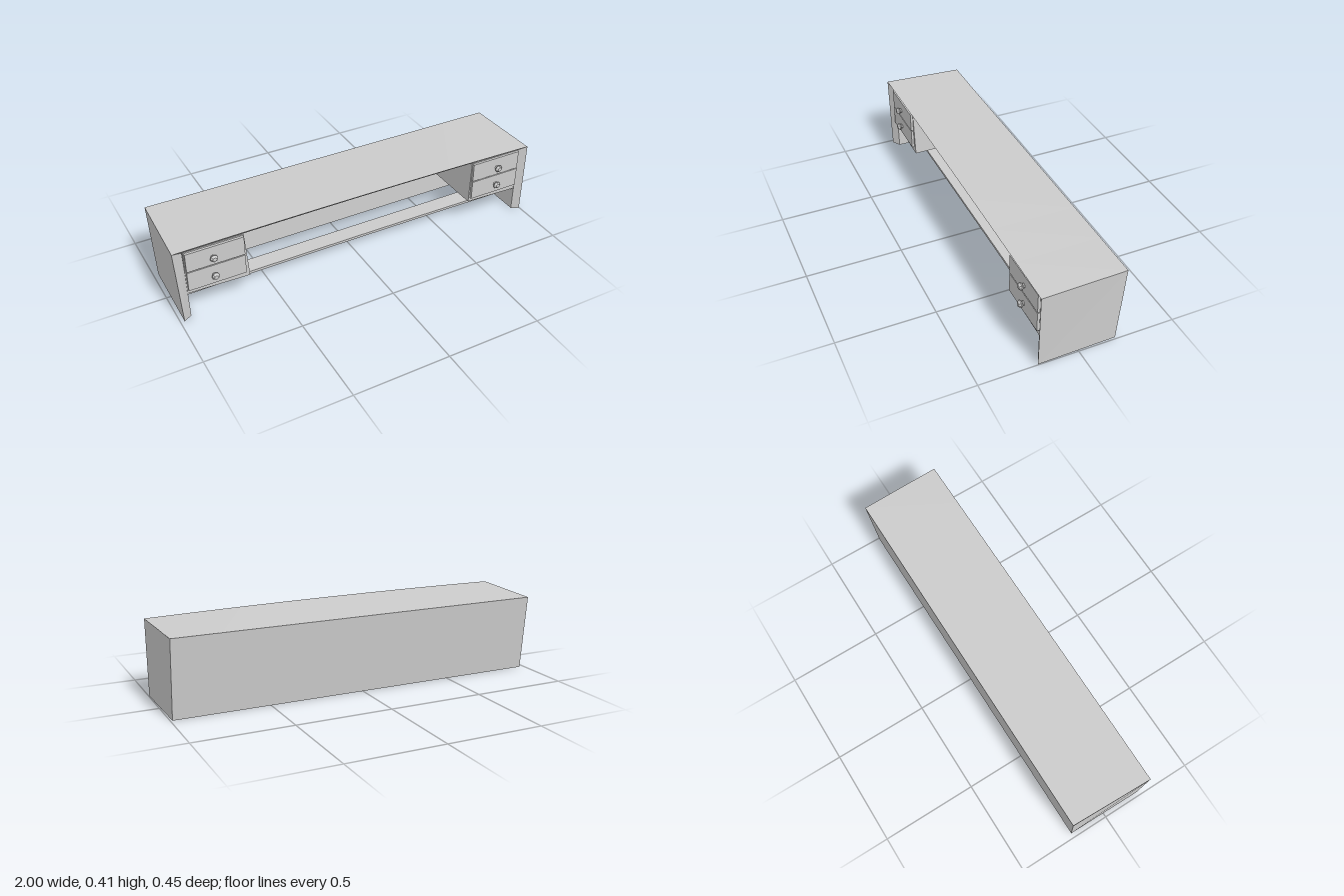
import * as THREE from 'three';

const material = new THREE.MeshStandardMaterial({ color: 0xcccccc, flatShading: true });

// Box bent to 8 corners: x runs fastest, then y (bottom, top), then z (back, front).
// arch lifts the middle of the front edge.
function block(name, corners, arch = 0) {
  const geo = new THREE.BoxGeometry(1, 1, 1, arch ? 8 : 1, 1, 1);
  const pos = geo.attributes.position;
  for (let i = 0; i < pos.count; i++) {
    const u = [pos.getX(i) + 0.5, pos.getY(i) + 0.5, pos.getZ(i) + 0.5];
    const p = [0, 0, 0];
    corners.forEach((c, k) => {
      const w = (k & 1 ? u[0] : 1 - u[0]) * (k & 2 ? u[1] : 1 - u[1]) * (k & 4 ? u[2] : 1 - u[2]);
      for (let a = 0; a < 3; a++) p[a] += w * c[a];
    });
    pos.setXYZ(i, p[0], p[1] + arch * u[2] * 4 * u[0] * (1 - u[0]), p[2]);
  }
  geo.computeVertexNormals();
  const mesh = new THREE.Mesh(geo, material);
  mesh.name = name;
  return mesh;
}

function box(name, x0, x1, y0, y1, z0, z1) {
  const c = [];
  for (const z of [z0, z1]) for (const y of [y0, y1]) for (const x of [x0, x1]) c.push([x, y, z]);
  return block(name, c);
}

// Faceted turned knob pointing forward
function knob(x, y, z) {
  const profile = [[0.012, 0], [0.01, 0.007], [0.019, 0.012], [0.02, 0.018], [0.011, 0.028], [0, 0.03]];
  const geo = new THREE.LatheGeometry(profile.map(([r, h]) => new THREE.Vector2(r, h)), 8);
  geo.rotateX(Math.PI / 2);
  const mesh = new THREE.Mesh(geo, material);
  mesh.name = 'knob';
  mesh.position.set(x, y, z);
  return mesh;
}

// Two drawers in a hanging case; the inner side of the case flares a little
function drawerStack(name, x0, x1, knobX, flareLeft, flareRight) {
  const group = new THREE.Group();
  group.name = name;
  const l = x0 - flareLeft, r = x1 + flareRight;
  group.add(block('drawerCase', [
    [l, 0.14, -0.19], [r, 0.135, -0.19], [x0, 0.385, -0.2], [x1, 0.385, -0.2],
    [l, 0.142, 0.182], [r, 0.132, 0.182], [x0, 0.385, 0.182], [x1, 0.385, 0.182],
  ]));
  for (const [y0, y1, knobY] of [[0.165, 0.27, 0.215], [0.275, 0.378, 0.32]]) {
    group.add(box('drawerFront', x0 + 0.004, x1 - 0.004, y0, y1, 0.175, 0.195));
    group.add(knob(knobX, knobY, 0.195));
  }
  return group;
}

export function createModel() {
  const model = new THREE.Group();
  model.name = 'lowDesk';

  // Top with a bevelled, slightly arched front edge
  model.add(block('top', [
    [-0.985, 0.378, -0.223], [0.99, 0.378, -0.223], [-0.985, 0.4, -0.225], [0.99, 0.4, -0.225],
    [-0.985, 0.383, 0.18], [0.985, 0.378, 0.18], [-1, 0.408, 0.205], [1, 0.4, 0.205],
  ], 0.009));

  // Back panel leaning outward toward the top
  model.add(block('backPanel', [
    [-0.975, 0, -0.195], [0.985, 0, -0.195], [-0.985, 0.399, -0.225], [0.99, 0.399, -0.225],
    [-0.975, 0, -0.172], [0.985, 0, -0.172], [-0.985, 0.399, -0.2], [0.99, 0.399, -0.2],
  ]));

  // Side panels with bevelled front edges
  model.add(block('rightPanel', [
    [-0.975, 0, -0.195], [-0.935, 0, -0.195], [-0.985, 0.399, -0.225], [-0.94, 0.399, -0.225],
    [-0.98, 0, 0.205], [-0.937, 0, 0.178], [-1, 0.407, 0.205], [-0.945, 0.385, 0.178],
  ]));
  model.add(block('leftPanel', [
    [0.955, 0, -0.195], [0.99, 0, -0.195], [0.955, 0.399, -0.225], [0.99, 0.399, -0.225],
    [0.957, 0, 0.185], [0.997, 0, 0.205], [0.957, 0.385, 0.185], [1, 0.4, 0.205],
  ]));

  // Foot rail between the sides
  model.add(block('footRail', [
    [-0.945, 0.042, -0.02], [0.96, 0.042, -0.02], [-0.945, 0.058, -0.02], [0.96, 0.058, -0.02],
    [-0.945, 0.042, 0.075], [0.96, 0.042, 0.075], [-0.945, 0.056, 0.075], [0.96, 0.056, 0.075],
  ], 0.005));

  model.add(drawerStack('rightDrawers', -0.942, -0.64, -0.805, 0, 0.018));
  model.add(drawerStack('leftDrawers', 0.66, 0.957, 0.815, 0.005, 0));
  return model;
}
